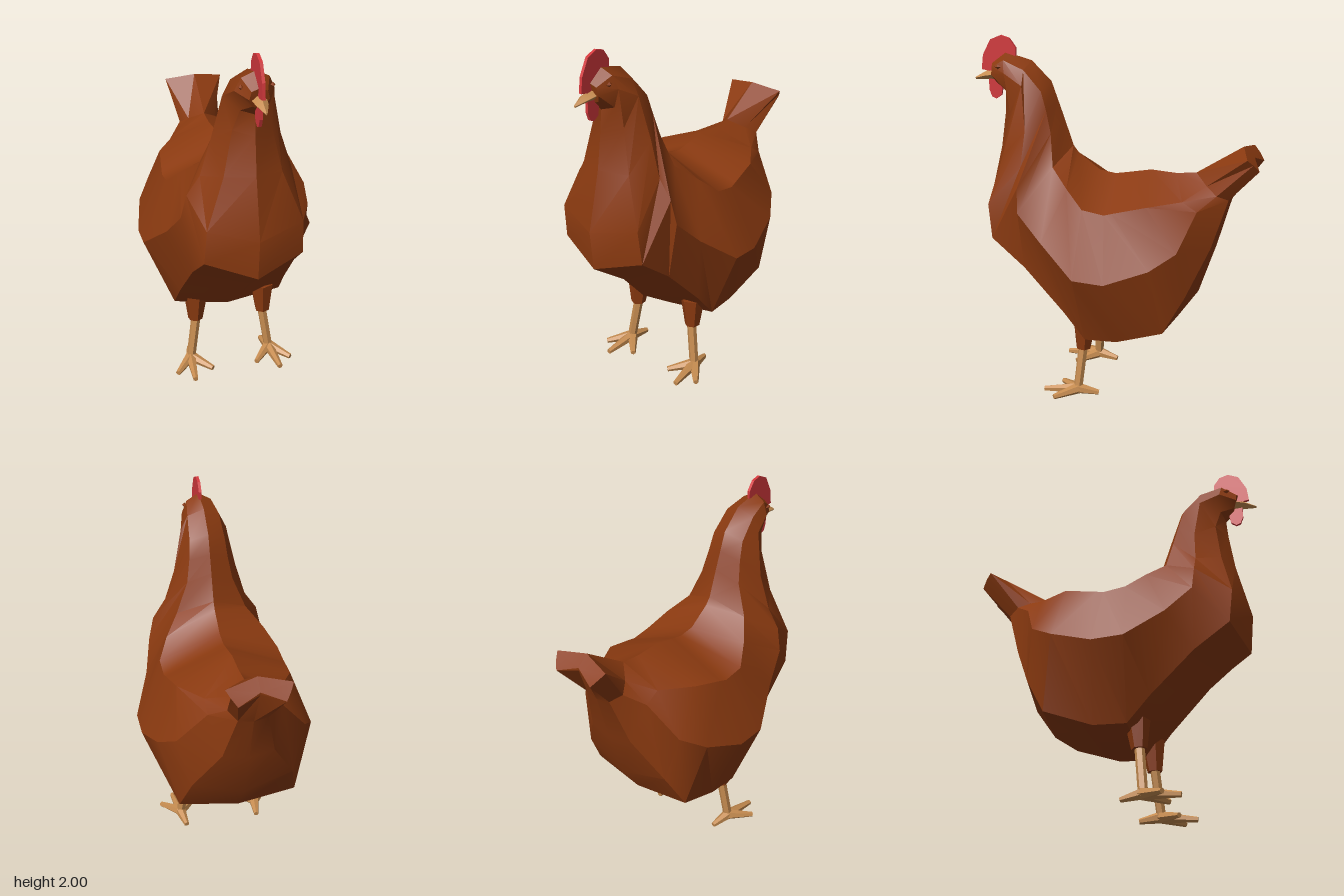
import * as THREE from 'three';
import { toCreasedNormals } from 'three/addons/utils/BufferGeometryUtils.js';

const material = (name, color) => new THREE.MeshStandardMaterial({ name, color });

// Mirrored loft: each line runs along the length (back to front), ordered from
// the top centre line, down the +x side, to the bottom centre line.
function loft(lines, crease) {
  const mirrored = lines.slice(1, -1).reverse().map((line) => line.map(([x, y, z]) => [-x, y, z]));
  const all = [...lines, ...mirrored];
  const n = all.length;
  const m = lines[0].length;
  const pos = [];
  const tri = (a, b, c) => pos.push(...a, ...b, ...c);
  for (let i = 0; i < m - 1; i++) {
    for (let j = 0; j < n; j++) {
      const p = all[j];
      const q = all[(j + 1) % n];
      tri(p[i], p[i + 1], q[i]);
      tri(q[i], p[i + 1], q[i + 1]);
    }
  }
  // End caps
  for (const i of [0, m - 1]) {
    const mid = [0, 1, 2].map((k) => all.reduce((s, line) => s + line[i][k], 0) / n);
    for (let j = 0; j < n; j++) {
      const p = all[j][i];
      const q = all[(j + 1) % n][i];
      if (i === 0) tri(mid, p, q);
      else tri(mid, q, p);
    }
  }
  const geo = new THREE.BufferGeometry();
  geo.setAttribute('position', new THREE.Float32BufferAttribute(pos, 3));
  return toCreasedNormals(geo, crease);
}

// Tapered rod between two points
function rod(from, to, r0, r1, sides) {
  const a = new THREE.Vector3(...from);
  const b = new THREE.Vector3(...to);
  const dir = b.clone().sub(a);
  const geo = new THREE.CylinderGeometry(r1, r0, dir.length(), sides);
  geo.applyQuaternion(new THREE.Quaternion().setFromUnitVectors(new THREE.Vector3(0, 1, 0), dir.normalize()));
  geo.translate(...a.add(b).multiplyScalar(0.5).toArray());
  return toCreasedNormals(geo, 0.4);
}

// Thin upright plate from a (z, y) outline
function plate(points, depth) {
  const shape = new THREE.Shape(points.map(([z, y]) => new THREE.Vector2(-z, y)));
  const geo = new THREE.ExtrudeGeometry(shape, { depth, bevelEnabled: false });
  geo.translate(0, 0, -depth / 2);
  geo.rotateY(Math.PI / 2);
  return geo;
}

export function createModel() {
  const group = new THREE.Group();
  const feather = material('brown feathers', 0x8b3a10);
  const horn = material('tan horn', 0xc68c50);
  const red = material('red skin', 0xd2383c);
  const add = (name, geo, mat, parent = group) => {
    const mesh = new THREE.Mesh(geo, mat);
    mesh.name = name;
    parent.add(mesh);
    return mesh;
  };

  // Body, neck and head as five lines from tail end to face
  const centre = (line) => line.map(([y, z]) => [0, y, z]);
  const back = centre([
    [1.46, -0.7], [1.3, -0.45], [1.29, -0.34], [1.3, -0.2], [1.275, -0.06],
    [1.265, 0], [1.28, 0.09], [1.37, 0.21], [1.41, 0.24], [1.56, 0.29],
    [1.66, 0.325], [1.76, 0.36], [1.87, 0.47], [1.91, 0.62], [1.85, 0.7],
  ]);
  const upper = [
    [0.17, 1.43, -0.74], [0.08, 1.25, -0.52], [0.2, 1.19, -0.41], [0.31, 1.18, -0.24], [0.335, 1.14, -0.06],
    [0.34, 1.13, -0.02], [0.34, 1.15, 0.1], [0.28, 1.24, 0.2], [0.2, 1.33, 0.3], [0.13, 1.5, 0.33],
    [0.11, 1.62, 0.36], [0.1, 1.72, 0.39], [0.09, 1.83, 0.49], [0.07, 1.875, 0.61], [0.04, 1.83, 0.69],
  ];
  const side = [
    [0.15, 1.4, -0.77], [0.12, 1.21, -0.58], [0.2, 1.14, -0.49], [0.35, 0.95, -0.41], [0.43, 0.87, -0.28],
    [0.48, 0.79, -0.05], [0.48, 0.8, 0.12], [0.385, 0.96, 0.32], [0.34, 1.1, 0.46], [0.31, 1.23, 0.47],
    [0.24, 1.33, 0.47], [0.18, 1.52, 0.46], [0.13, 1.75, 0.49], [0.1, 1.81, 0.6], [0.05, 1.79, 0.69],
  ];
  const lower = [
    [0.12, 1.36, -0.8], [0.08, 1.18, -0.64], [0.14, 0.92, -0.56], [0.28, 0.68, -0.45], [0.33, 0.48, -0.34],
    [0.31, 0.39, -0.08], [0.31, 0.385, 0.1], [0.3, 0.53, 0.22], [0.28, 0.77, 0.45], [0.26, 0.92, 0.64],
    [0.25, 1.11, 0.66], [0.15, 1.37, 0.6], [0.1, 1.6, 0.57], [0.07, 1.71, 0.6], [0.03, 1.75, 0.67],
  ];
  const belly = centre([
    [1.39, -0.76], [1.17, -0.65], [0.9, -0.575], [0.61, -0.48], [0.45, -0.37],
    [0.315, -0.09], [0.33, 0.1], [0.49, 0.33], [0.67, 0.49], [0.84, 0.72],
    [1.06, 0.74], [1.38, 0.66], [1.58, 0.63], [1.69, 0.62], [1.74, 0.67],
  ]);
  add('body', loft([back, upper, side, lower, belly], 0.5), feather);

  // Beak
  add('beak', loft([
    centre([[1.82, 0.66], [1.805, 0.73], [1.765, 0.8]]),
    [[0.04, 1.79, 0.66], [0.032, 1.78, 0.73], [0.006, 1.76, 0.8]],
    centre([[1.75, 0.66], [1.755, 0.73], [1.752, 0.8]]),
  ], 0.3), horn);

  // Comb and wattle
  add('comb', plate([
    [0.56, 1.89], [0.56, 1.935], [0.595, 1.985], [0.645, 2], [0.705, 1.975],
    [0.75, 1.89], [0.76, 1.81], [0.7, 1.8], [0.62, 1.87],
  ], 0.016), red);
  add('wattle', plate([
    [0.72, 1.77], [0.72, 1.7], [0.705, 1.66], [0.68, 1.65], [0.65, 1.67], [0.64, 1.72], [0.65, 1.77],
  ], 0.016), red);

  for (const s of [1, -1]) {
    // Eye lid, a small low bump
    const eye = add('eye', new THREE.OctahedronGeometry(0.02), feather);
    eye.scale.set(0.6, 0.7, 1);
    eye.position.set(s * 0.078, 1.84, 0.64);

    // Leg with thigh, shank and four toes
    const leg = new THREE.Group();
    leg.name = s > 0 ? 'leftLeg' : 'rightLeg';
    group.add(leg);
    add('thigh', rod([s * 0.195, 0.45, 0.13], [s * 0.2, 0.28, 0.14], 0.07, 0.042, 6), feather, leg);
    add('shank', rod([s * 0.195, 0.3, 0.14], [s * 0.235, 0.03, 0.165], 0.027, 0.026, 6), horn, leg);
    for (const [x, z] of [[0.25, 0.36], [0.335, 0.28], [0.13, 0.28], [0.22, 0.045]]) {
      add('toe', rod([s * 0.235, 0.036, 0.16], [s * x, 0.016, z], 0.032, 0.015, 6), horn, leg);
    }
  }
  return group;
}
